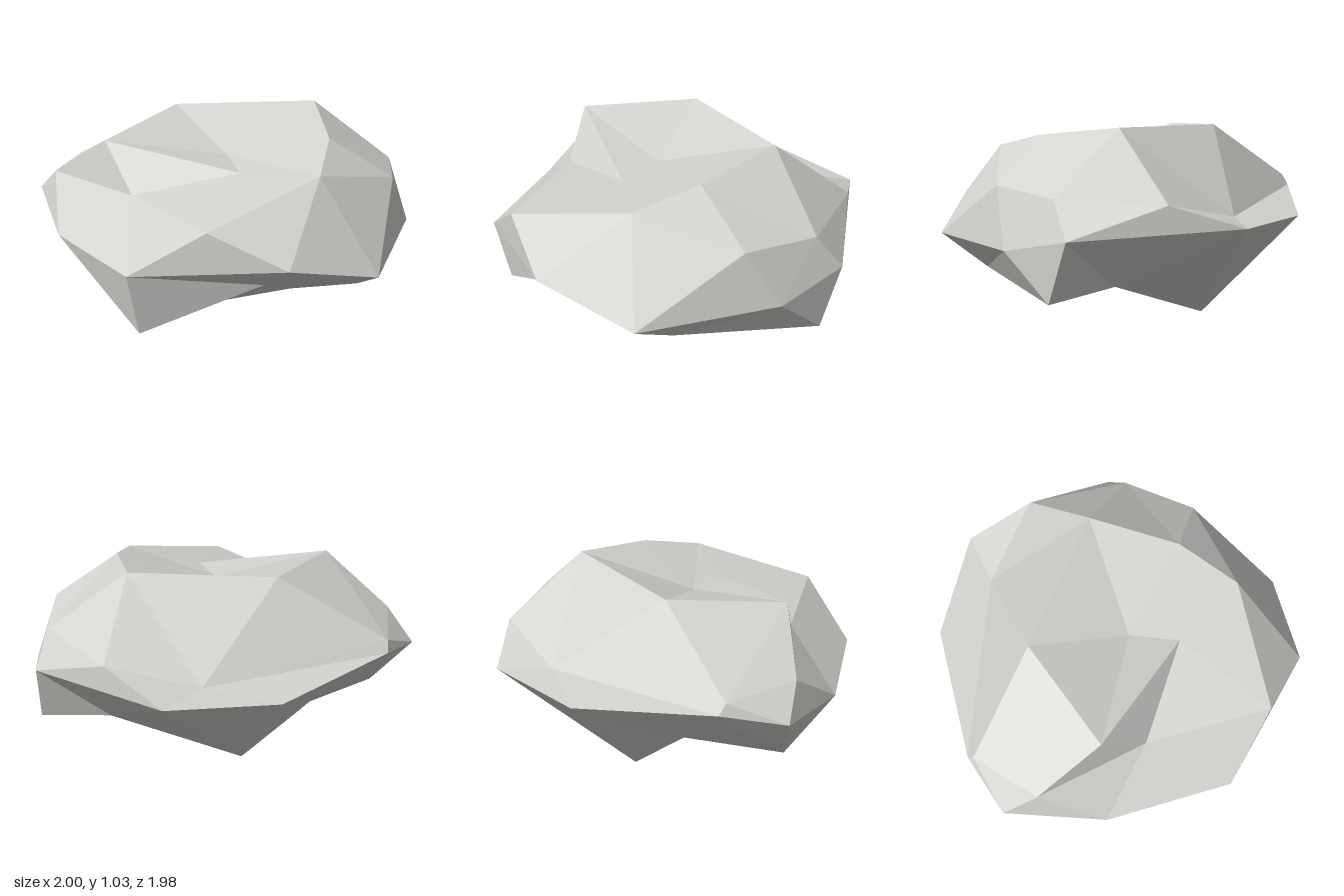
import * as THREE from 'three';

// Corners of the boulder: capitals for the upper shell and rim, small letters for dents and underside
const corners = {
  A: [-0.01, 0.58, -0.99], B: [0.34, 0.7, -0.85], C: [0.79, 0.54, -0.68], D: [0.78, 0.72, -0.54],
  E: [0.95, 0.455, -0.33], F: [0.905, 0.75, -0.15], G: [1, 0.43, 0.4], H: [0.69, 0.58, 0.82],
  I: [0.67, 0.89, 0.35], J: [0.6, 0.97, 0], K: [0.37, 1.03, -0.43], L: [0.31, 0.745, 0.905],
  M: [-0.07, 0.49, 0.99], N: [-0.65, 0.475, 0.64], O: [-0.26, 0.72, 0.55], P: [-0.47, 0.95, 0.43],
  Q: [0.24, 0.84, 0.33], R: [-0.84, 0.7, 0.33], S: [-0.35, 0.995, -0.18], T: [-1, 0.55, 0.23],
  U: [-0.91, 0.67, -0.06], V: [-0.92, 0.615, -0.1], W: [-0.12, 0.59, -0.72], X: [-0.52, 0.56, -0.72],
  Y: [-0.2, 0, -0.305], Z: [-0.77, 0.262, 0.31],
  a: [0.08, 0.85, 0.12], b: [0.83, 0.225, -0.57], c: [0.45, 0.26, -0.53], d: [-0.045, 0.16, 0.92],
  e: [0.06, 0.175, 0.59], f: [0.83, 0.27, 0.18], g: [0.53, 0.26, 0.35], h: [0.48, 0.38, 0.6],
  i: [-0.04, 0.17, -0.15], l: [-0.53, 0.3, -0.14], m: [0.42, 0.265, -0.14], q: [-0.88, 0.5, 0.02],
};

// Each fan is a hub corner followed by its neighbours, counter-clockwise from outside
const fans = [
  'aJKSPQIJ',                                // hollow in the crown
  'WBAXVUSKB', 'DCBKJFEC', 'ABC',            // back slopes
  'UVTRPS', 'OPRNMLQP', 'TNR',               // ledge and notch
  'IQLHGFJ', 'LMH', 'FGE',                   // front and side slopes
  'NTZdM', 'hMdegGHM',                       // front undercut
  'fGgmbEG', 'cCbmYAC', 'CEb',               // side and back undercut
  'qVlZTV', 'lVX', 'YmilXA',                 // far side undercut and lowest point
  'lieZ', 'dZe', 'imge',                     // underside
];

function fanGeometry(fanList) {
  const positions = [];
  for (const [hub, ...ring] of fanList) {
    for (let k = 0; k < ring.length - 1; k++) {
      for (const name of [hub, ring[k], ring[k + 1]]) positions.push(...corners[name]);
    }
  }
  const geometry = new THREE.BufferGeometry();
  geometry.setAttribute('position', new THREE.Float32BufferAttribute(positions, 3));
  geometry.computeVertexNormals(); // unshared corners give flat facets
  return geometry;
}

export function createModel() {
  const stone = new THREE.MeshStandardMaterial({ color: 0xd2d2ce, flatShading: true });
  stone.name = 'stone grey';

  const boulder = new THREE.Mesh(fanGeometry(fans), stone);
  boulder.name = 'boulder';

  const group = new THREE.Group();
  group.name = 'rock';
  group.add(boulder);
  return group;
}
